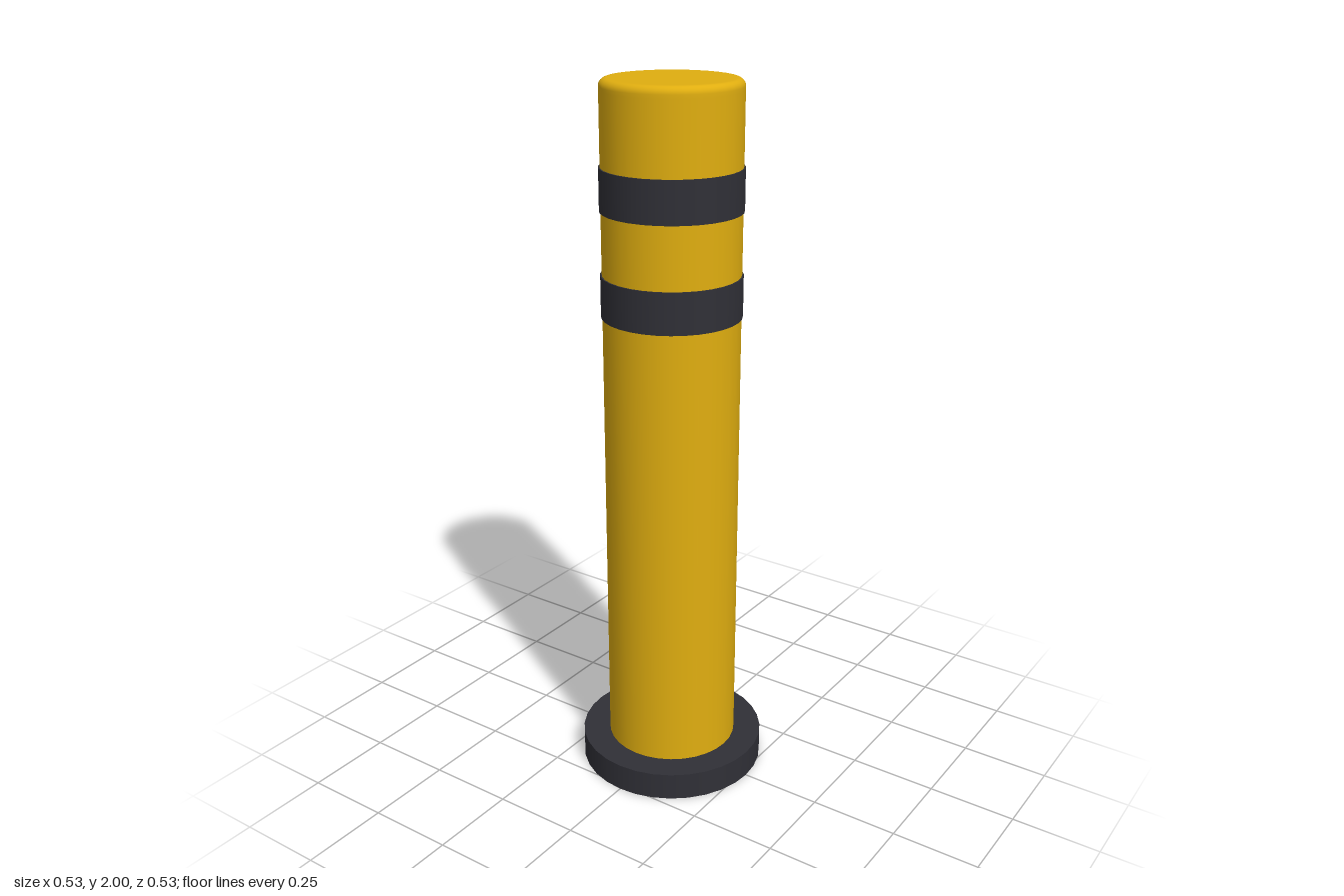
import * as THREE from 'three';

const SIDES = 32;
const POST_R = 0.188;
const BASE_R = 0.267;
const BASE_H = 0.08;

export function createModel() {
  const yellow = new THREE.MeshStandardMaterial({ color: 0xe0ae10 });
  yellow.name = 'safety yellow';
  const dark = new THREE.MeshStandardMaterial({ color: 0x303037 });
  dark.name = 'dark rubber';

  const bollard = new THREE.Group();
  bollard.name = 'bollard';

  const add = (name, geometry, material, y = 0, parent = bollard) => {
    const mesh = new THREE.Mesh(geometry, material);
    mesh.name = name;
    mesh.position.y = y;
    parent.add(mesh);
    return mesh;
  };

  // Post: straight wall, small rounded shoulder, flat cap
  const bevel = 0.02;
  const profile = [new THREE.Vector2(POST_R, 0), new THREE.Vector2(POST_R, 2 - bevel - 0.01)];
  for (let i = 0; i <= 6; i++) {
    const a = (i / 6) * Math.PI / 2;
    profile.push(new THREE.Vector2(
      POST_R - bevel + bevel * Math.cos(a),
      2 - bevel + bevel * Math.sin(a),
    ));
  }
  profile.push(new THREE.Vector2(POST_R - bevel - 0.01, 2), new THREE.Vector2(0, 2));
  add('post', new THREE.LatheGeometry(profile, SIDES), yellow);
  add('postUnderside', new THREE.CircleGeometry(POST_R, SIDES).rotateX(Math.PI / 2), yellow);

  // Base flange: outer wall with a ring above and below, around the post
  const base = new THREE.Group();
  base.name = 'baseFlange';
  bollard.add(base);
  const ring = () => new THREE.RingGeometry(POST_R, BASE_R, SIDES);
  add('flangeWall', new THREE.CylinderGeometry(BASE_R, BASE_R, BASE_H, SIDES, 1, true), dark, BASE_H / 2, base);
  add('flangeTop', ring().rotateX(-Math.PI / 2), dark, BASE_H, base);
  add('flangeUnderside', ring().rotateX(Math.PI / 2), dark, 0, base);

  // Two dark bands standing slightly proud of the post
  [['lowerBand', 1.432], ['upperBand', 1.718]].forEach(([name, y]) => {
    add(name, new THREE.CylinderGeometry(0.192, 0.192, 0.115, SIDES), dark, y);
  });

  return bollard;
}
